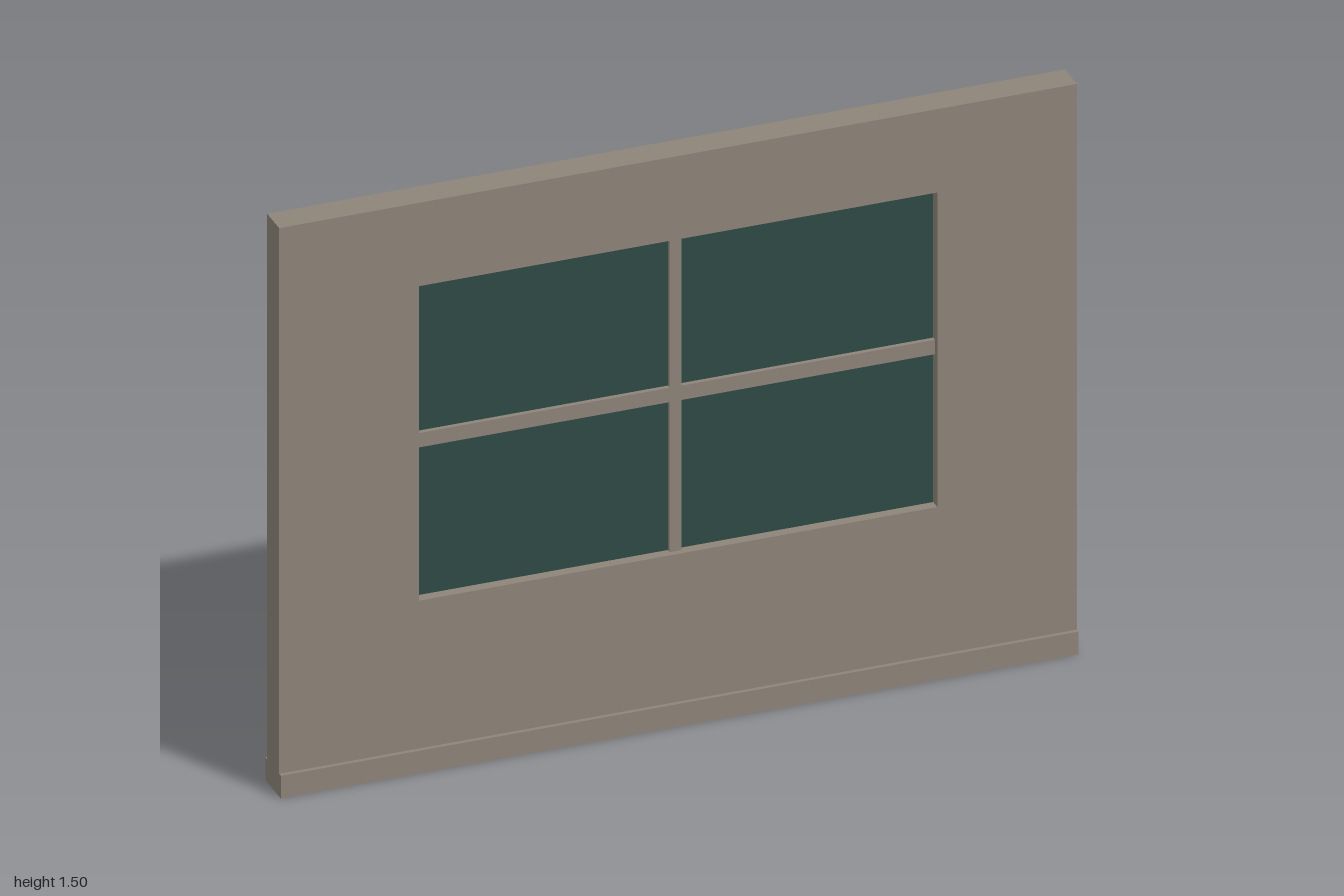
import * as THREE from 'three';

export function createModel() {
  const model = new THREE.Group();
  model.name = 'windowWall';
  const plaster = new THREE.MeshStandardMaterial({ color: 0x8e8579 });
  plaster.name = 'taupe plaster';
  const glass = new THREE.MeshStandardMaterial({ color: 0x2f4a45 });
  glass.name = 'dark green glass';

  const wallDepth = 0.078, height = 1.5, baseHeight = 0.06;
  const opening = { x: 0.65, bottom: 0.45, top: 1.28 };
  const midY = (opening.bottom + opening.top) / 2;
  const openingHeight = opening.top - opening.bottom;

  const add = (name, geometry, material, y = 0) => {
    const mesh = new THREE.Mesh(geometry, material);
    mesh.name = name;
    mesh.position.y = y;
    model.add(mesh);
  };
  const rectangle = (path, x, bottom, top) =>
    path.moveTo(-x, bottom).lineTo(x, bottom).lineTo(x, top).lineTo(-x, top).closePath();

  // Wall panel with the window opening cut through it
  const outline = rectangle(new THREE.Shape(), 1, baseHeight, height);
  outline.holes.push(rectangle(new THREE.Path(), opening.x, opening.bottom, opening.top));
  const wall = new THREE.ExtrudeGeometry(outline, { depth: wallDepth, bevelEnabled: false });
  wall.translate(0, 0, -wallDepth / 2);
  add('wall', wall, plaster);

  // Baseboard, proud of the wall on both sides
  add('baseboard', new THREE.BoxGeometry(2, baseHeight, 0.1), plaster, baseHeight / 2);

  // Recessed pane and the crossing glazing bars, seen from both sides
  add('windowPane', new THREE.BoxGeometry(2 * opening.x, openingHeight, 0.024), glass, midY);
  add('verticalBar', new THREE.BoxGeometry(0.03, openingHeight, 0.048), plaster, midY);
  add('horizontalBar', new THREE.BoxGeometry(2 * opening.x, 0.038, 0.048), plaster, midY);

  return model;
}
